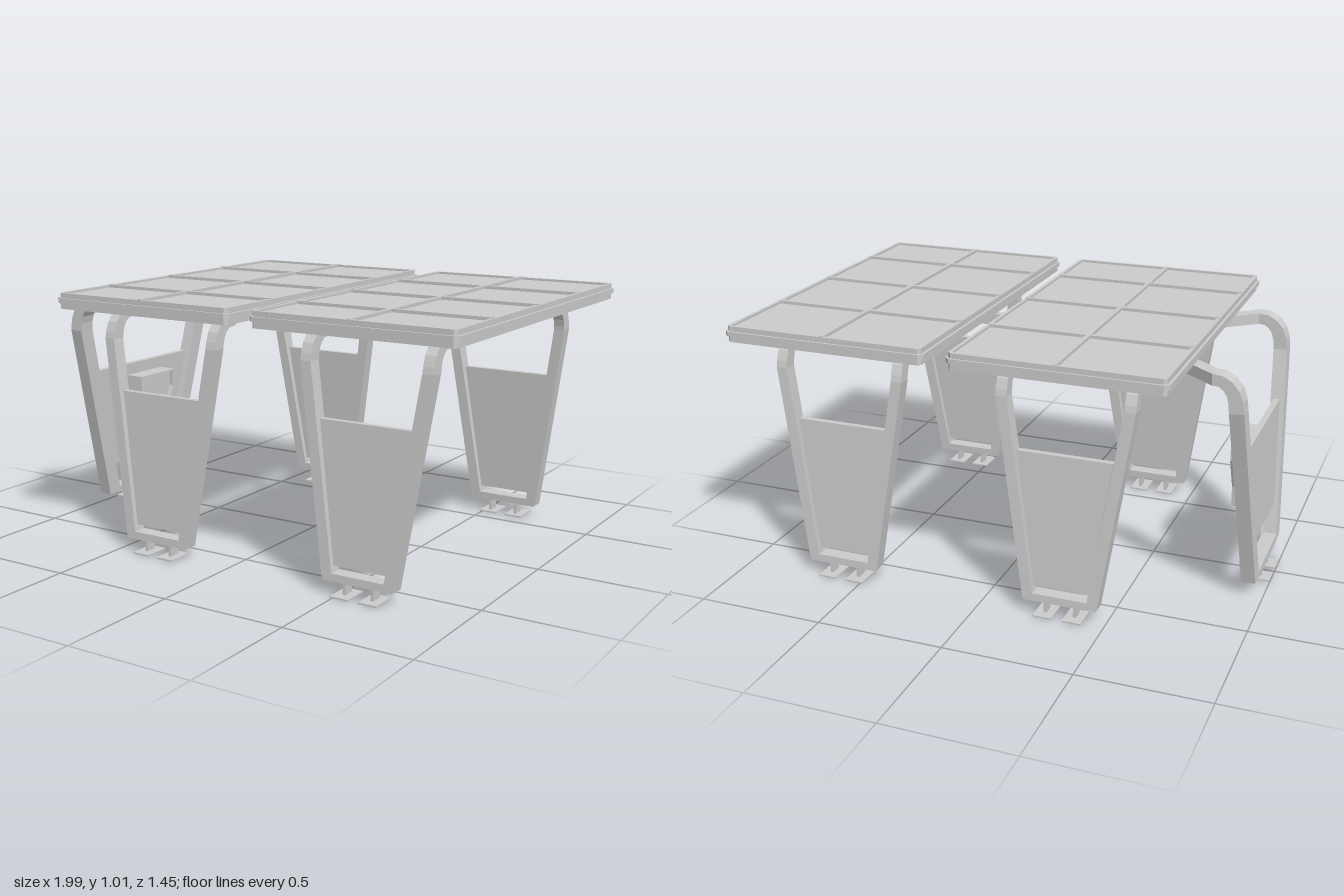
import * as THREE from 'three';

const grey = new THREE.MeshStandardMaterial({ color: 0xcccccc, flatShading: true });
const TABLES = [-0.32, 0.585];

function add(parent, name, geometry) {
  const mesh = new THREE.Mesh(geometry, grey);
  mesh.name = name;
  parent.add(mesh);
  return mesh;
}

function box(parent, name, [w, h, d], [x, y, z]) {
  return add(parent, name, new THREE.BoxGeometry(w, h, d).translate(x, y, z));
}

const shapeOf = (pts) => new THREE.Shape(pts.map(([x, y]) => new THREE.Vector2(x, y)));
const extrude = (shape, depth) => new THREE.ExtrudeGeometry(shape, { depth, bevelEnabled: false });
const mirrored = (half) => [...half, ...half.map(([x, y]) => [-x, y]).reverse()];

// Outward position of the leaning leg plane at height y
const lean = (y) => 0.622 - (y - 0.05) * 0.057;

// Upright plate, sheared to follow the lean of the legs
function leaningPlate(half, depth) {
  const g = extrude(shapeOf(mirrored(half)), depth).translate(0, 0, -depth / 2);
  const p = g.attributes.position;
  for (let i = 0; i < p.count; i++) p.setZ(i, p.getZ(i) + lean(p.getY(i)));
  return g;
}

// Bent square tube: up the leg, round the shoulder, then in to the hub
function legTube(side, topU, bottomU, width, kink) {
  const path = [ // outward, height, sideways, thickness
    [lean(0.055), 0.055, bottomU, 0.055], [lean(kink), kink, topU, 0.055],
    [0.574, 0.85, topU, 0.053], [0.563, 0.883, topU, 0.05],
    [0.543, 0.909, topU, 0.046], [0.516, 0.925, topU, 0.043],
    [0.485, 0.928, topU, 0.043], [0, 0.926, 0, 0.042],
  ];
  const n = path.length - 1;
  const g = new THREE.BoxGeometry(1, 1, 1, 1, 1, n);
  const p = g.attributes.position;
  for (let i = 0; i < p.count; i++) {
    const k = Math.round((p.getZ(i) + 0.5) * n);
    const [d, y, u, t] = path[k];
    const a = path[Math.max(k - 1, 0)], b = path[Math.min(k + 1, n)];
    const td = b[0] - a[0], ty = b[1] - a[1], len = Math.hypot(td, ty);
    const off = p.getY(i) * t / len;
    p.setXYZ(i, side * u + p.getX(i) * width, y + td * off, d - ty * off);
  }
  g.computeVertexNormals();
  return g;
}

// Complete leg frame, facing local +z with the hub at its origin
function legFrame(name, o) {
  const frame = new THREE.Group();
  frame.name = name;
  for (const side of [-1, 1]) {
    add(frame, 'legTube', legTube(side, o.topU, o.bottomU, o.width, o.kink));
    const x = side * 0.058;
    box(frame, 'footPost', [0.012, 0.055, 0.045], [x, 0.028, 0.618]);
    box(frame, 'footPlate', [0.074, 0.006, 0.108], [x, 0.003, 0.624]);
  }
  const edge = o.bottomU + o.width / 2;
  add(frame, 'bottomBar', leaningPlate([[edge - o.chamfer, 0.05], [edge, 0.08]], 0.056));
  add(frame, 'infillPanel', leaningPlate(o.infill, 0.024));
  return frame;
}

const NARROW = {
  topU: 0.243, bottomU: 0.125, width: 0.043, kink: 0.83, chamfer: 0.004,
  infill: [[0.108, 0.105], [0.184, 0.63]],
};
const WIDE = {
  topU: 0.395, bottomU: 0.2, width: 0.068, kink: 0.81, chamfer: 0.07,
  infill: [[0.195, 0.205], [0.298, 0.62]],
};

// Rectangle with clipped corners
function clipped(w, d, c) {
  return [[w - c, -d], [w, -d + c], [w, d - c], [w - c, d],
    [-w + c, d], [-w, d - c], [-w, -d + c], [-w + c, -d]];
}

function slab(w, d, c, y0, y1, rim) {
  const shape = shapeOf(clipped(w, d, c));
  if (rim) shape.holes.push(shapeOf(clipped(w - rim, d - rim, 0.003)));
  return extrude(shape, y1 - y0).rotateX(-Math.PI / 2).translate(0, y0, 0);
}

// Roof of two by four panels in a layered frame
function roof() {
  const g = new THREE.Group();
  g.name = 'roof';
  add(g, 'lowerSlab', slab(0.4, 0.715, 0.012, 0.95, 0.974));
  add(g, 'edgeBand', slab(0.41, 0.723, 0.018, 0.974, 0.992));
  add(g, 'panelSurface', slab(0.4, 0.715, 0.012, 0.992, 1.003));
  add(g, 'roofRim', slab(0.4, 0.715, 0.012, 1.003, 1.012, 0.014));
  box(g, 'longDivider', [0.016, 0.014, 1.42], [0, 1.008, 0]);
  for (const z of [0.424, 0.04, -0.346]) {
    box(g, 'crossDivider', [0.79, 0.014, 0.016], [0, 1.008, z]);
  }
  return g;
}

// Flared housing with a shallow rimmed face, mounted inside the end panel
function housing() {
  const g = new THREE.Group();
  g.name = 'housing';
  const outline = (i) => mirrored([[0.047 - i, 0.28 + i * 0.6], [0.053 - i, 0.365],
    [0.115 - i, 0.497], [0.115 - i, 0.57 - i * 0.6]]);
  const rim = shapeOf(outline(0));
  rim.holes.push(shapeOf(outline(0.012)));
  add(g, 'housingShell', extrude(rim, 0.095).translate(0, 0, 0.5));
  add(g, 'housingFace', extrude(shapeOf(outline(0.012)), 0.075).translate(0, 0, 0.52));
  return g;
}

export function createModel() {
  const model = new THREE.Group();
  model.name = 'solarShelter';

  TABLES.forEach((x, i) => {
    const table = new THREE.Group();
    table.name = i ? 'leftTable' : 'rightTable';
    table.position.x = x;
    table.add(roof());
    const back = legFrame('backLegFrame', NARROW);
    back.rotation.y = Math.PI;
    table.add(legFrame('frontLegFrame', NARROW), back);
    box(table, 'hub', [0.034, 0.05, 0.034], [0, 0.926, 0]);
    // Thin stiffeners under the crossing arms
    for (const s of [-1, 1]) {
      const strip = box(table, 'crossStrip', [0.03, 0.008, 0.44], [0, 0.902, 0]);
      strip.rotation.y = s * Math.atan2(0.243, 0.485);
    }
    model.add(table);
  });

  // Wide end frame on the right table
  const end = legFrame('endLegFrame', WIDE);
  end.add(housing());
  end.rotation.y = -Math.PI / 2;
  end.position.x = TABLES[0];
  model.add(end);

  // Beam joining the two hubs
  const [a, b] = TABLES;
  box(model, 'spineBeam', [b - a, 0.045, 0.032], [(a + b) / 2, 0.924, 0]);
  return model;
}
